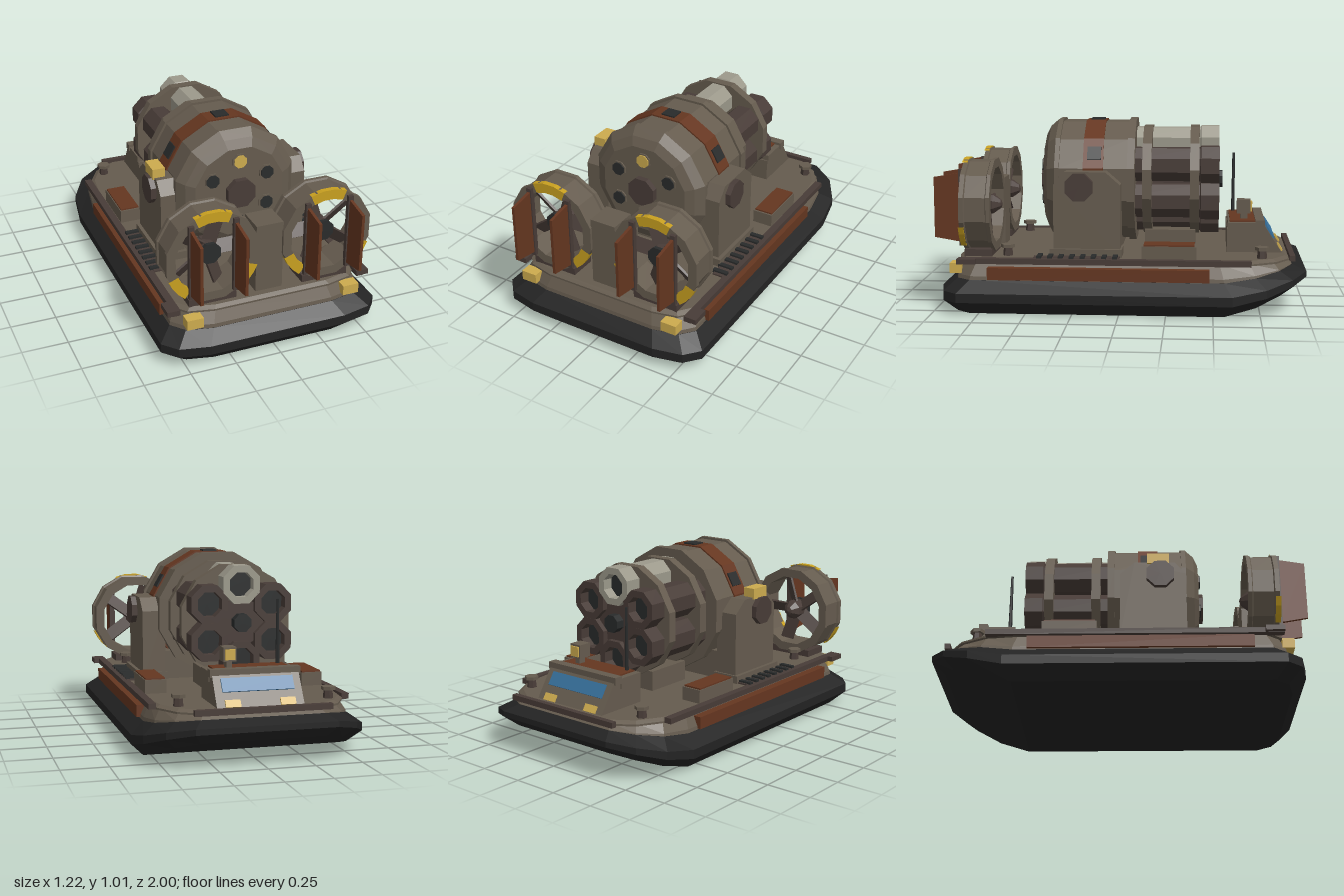
import * as THREE from 'three';

const mat = (name, color) => Object.assign(new THREE.MeshStandardMaterial({ color }), { name });

export function createModel() {
  const taupe = mat('taupe armour', 0x655b4e), brown = mat('dark brown metal', 0x483c37);
  const rust = mat('rust red paint', 0x653620), black = mat('black rubber', 0x232323);
  const dark = mat('charcoal', 0x292b2b), yellow = mat('hazard yellow', 0xc8a020);
  const lamp = mat('lamp amber', 0xcdab4e), pale = mat('pale steel', 0x9c998b);
  const blue = mat('blue glass', 0x37709c);
  const model = new THREE.Group();
  model.name = 'armouredHovercraft';

  // Faceted mesh
  function add(name, geometry, material, parent = model) {
    const g = geometry.index ? geometry.toNonIndexed() : geometry;
    g.computeVertexNormals();
    const mesh = new THREE.Mesh(g, material);
    mesh.name = name;
    parent.add(mesh);
    return mesh;
  }
  // Box from its limits
  const box = (name, m, x0, x1, y0, y1, z0, z1, parent) => add(name,
    new THREE.BoxGeometry(Math.abs(x1 - x0), y1 - y0, z1 - z0)
      .translate((x0 + x1) / 2, (y0 + y1) / 2, (z0 + z1) / 2), m, parent);
  // Turned part along z, flat side up; profile points are [radius, z]
  const turned = (name, m, profile, sides, x, y, parent, start = Math.PI / sides, sweep = Math.PI * 2) => add(name,
    new THREE.LatheGeometry(profile.map(p => new THREE.Vector2(...p)), sides, start, sweep)
      .rotateX(Math.PI / 2).translate(x, y, 0), m, parent);
  const disc = (r, z0, z1) => [[0, z0], [r, z0], [r, z1], [0, z1]];
  const ring = (ri, ro, z0, z1) => [[ri, z0], [ro, z0], [ro, z1], [ri, z1], [ri, z0]];

  // Plan outline of the craft, bow to stern on one side, then mirrored
  const half = [[0.37, -1], [0.5, -0.92], [0.585, -0.78], [0.61, -0.6], [0.61, 0.86], [0.54, 0.94], [0.38, 0.975]];
  const plan = [...half, ...half.map(([x, z]) => [-x, z]).reverse()];
  // Loft of inset outlines; each level is [inset, y, bow rise]
  function loft(levels) {
    const n = plan.length, pos = [];
    const rings = levels.map(([d, y, rise]) => plan.map(([x, z]) => {
      const t = Math.max(0, (-0.6 - z) / 0.4);
      return [x * (0.61 - d) / 0.61, y + rise * t ** 1.3, z * (0.985 - d) / 0.985];
    }));
    const quad = (a, b, c, d) => pos.push(...a, ...b, ...c, ...a, ...c, ...d);
    for (let k = 0; k < rings.length - 1; k++) {
      const lo = rings[k], hi = rings[k + 1];
      for (let i = 0; i < n; i++) quad(lo[i], hi[i], hi[(i + 1) % n], lo[(i + 1) % n]);
    }
    const bot = rings[0], top = rings[rings.length - 1];
    for (let i = 0; i < half.length - 1; i++) {
      quad(top[i], top[n - 1 - i], top[n - 2 - i], top[i + 1]);
      quad(bot[i], bot[i + 1], bot[n - 2 - i], bot[n - 1 - i]);
    }
    return new THREE.BufferGeometry().setAttribute('position', new THREE.Float32BufferAttribute(pos, 3));
  }

  // Skirt, hull and deck
  add('skirt', loft([[0.07, 0, 0.13], [0, 0.07, 0.12], [0, 0.12, 0.1], [0.07, 0.18, 0.07]]), black);
  add('hull', loft([[0.07, 0.17, 0.06], [0.075, 0.2, 0.05], [0.11, 0.275, 0]]), taupe);
  add('deck', loft([[0.09, 0.268, 0], [0.09, 0.278, 0], [0.11, 0.292, 0]]), taupe);
  box('bowRail', brown, -0.36, 0.36, 0.27, 0.3, -0.94, -0.91);

  for (const s of [-1, 1]) {
    const side = s > 0 ? 'left' : 'right';
    // Side armour, rails, lockers and grilles
    box(side + 'SidePanel', rust, s * 0.5, s * 0.557, 0.185, 0.25, -0.48, 0.7);
    box(side + 'Rail', brown, s * 0.5, s * 0.54, 0.268, 0.298, -0.7, 0.86);
    box(side + 'RailEnd', brown, s * 0.535, s * 0.57, 0.27, 0.298, 0.76, 0.86);
    box(side + 'Locker', taupe, s * 0.38, s * 0.495, 0.285, 0.365, -0.41, -0.12);
    box(side + 'LockerLid', rust, s * 0.385, s * 0.49, 0.365, 0.373, -0.4, -0.13);
    box(side + 'Grille', brown, s * 0.44, s * 0.5, 0.285, 0.3, 0, 0.46);
    for (let i = 0; i < 8; i++)
      box(side + 'GrilleSlat', dark, s * 0.43, s * 0.515, 0.285, 0.31, 0.01 + i * 0.058, 0.035 + i * 0.058);
    box(side + 'SternLamp', lamp, s * 0.395, s * 0.485, 0.205, 0.26, 0.85, 0.915);

    // Bollards
    for (const z of [0.61, -0.76]) {
      add('bollardStem', new THREE.CylinderGeometry(0.022, 0.028, 0.06, 6).translate(s * 0.4, 0.315, z), brown);
      add('bollardCap', new THREE.CylinderGeometry(0.038, 0.038, 0.018, 6).translate(s * 0.4, 0.345, z), taupe);
    }

    // Engine side mount with round boss
    box(side + 'MountFoot', taupe, s * 0.28, s * 0.44, 0.285, 0.335, -0.01, 0.38);
    const mount = new THREE.Shape([[0, 0.3], [0.36, 0.3], [0.36, 0.68], [0.3, 0.75], [0.08, 0.75], [0, 0.68]]
      .map(p => new THREE.Vector2(...p)));
    add(side + 'Mount', new THREE.ExtrudeGeometry(mount, { depth: 0.13, bevelEnabled: false })
      .rotateY(-Math.PI / 2).translate(s > 0 ? 0.42 : -0.29, 0, 0), taupe);
    add(side + 'MountBoss', new THREE.CylinderGeometry(0.08, 0.08, 0.04, 8, 1, false, Math.PI / 8)
      .rotateZ(Math.PI / 2).translate(s * 0.43, 0.67, 0.22), brown);

    // Ducted fan
    const fan = new THREE.Group();
    fan.name = side + 'Fan';
    model.add(fan);
    const fx = s * 0.317, fy = 0.56;
    turned('duct', taupe, [[0.207, 0.68], [0.257, 0.68], [0.257, 0.7], [0.247, 0.705], [0.247, 0.815],
      [0.257, 0.82], [0.257, 0.845], [0.207, 0.845], [0.207, 0.68]], 12, fx, fy, fan);
    for (const [mid, span] of [[90, 46], [217, 32], [323, 32]])
      turned('hazardMark', yellow, ring(0.203, 0.258, 0.822, 0.851), 3, fx, fy, fan,
        THREE.MathUtils.degToRad(mid + 90 - span / 2), THREE.MathUtils.degToRad(span));
    turned('hub', brown, [[0, 0.65], [0.025, 0.66], [0.055, 0.7], [0.055, 0.79], [0, 0.79]], 8, fx, fy, fan);
    turned('hubCap', dark, disc(0.06, 0.79, 0.81), 8, fx, fy, fan);
    for (let i = 0; i < 5; i++) {
      const a = i * Math.PI * 0.4;
      add('blade', new THREE.BoxGeometry(0.16, 0.075, 0.012).rotateX(0.6 * s).translate(0.12, 0, 0)
        .rotateZ(s < 0 ? a : Math.PI - a).translate(fx, fy, 0.75), brown, fan);
    }
    box('fanFoot', brown, fx - 0.13, fx + 0.13, 0.285, 0.33, 0.69, 0.84, fan);

    // Rudders and their posts
    const vane = new THREE.Shape([[0.855, 0.37], [1, 0.395], [1, 0.72], [0.855, 0.745]].map(p => new THREE.Vector2(...p)));
    for (const x of [0.198, 0.438]) {
      add('rudder', new THREE.ExtrudeGeometry(vane, { depth: 0.016, bevelEnabled: false })
        .rotateY(-Math.PI / 2).translate(s * x + 0.008, 0, 0), rust, fan);
      box('rudderPost', brown, s * x - 0.015, s * x + 0.015, 0.35, 0.765, 0.84, 0.865, fan);
    }
  }
  box('fanPylon', taupe, -0.075, 0.075, 0.285, 0.675, 0.68, 0.83);

  // Main engine body
  const ey = 0.67;
  turned('engineBody', taupe, [[0, -0.07], [0.35, -0.07], [0.35, -0.03], [0.337, -0.03], [0.337, 0.34], [0.35, 0.34],
    [0.35, 0.365], [0.31, 0.41], [0.26, 0.435], [0, 0.435]], 12, 0, ey);
  turned('engineBand', rust, ring(0.33, 0.345, 0.1, 0.21), 12, 0, ey);
  for (const a of [-Math.PI / 3, 0, Math.PI / 3])
    add('bandHatch', new THREE.BoxGeometry(0.078, 0.012, 0.075).translate(0, 0.335, 0.15)
      .rotateZ(a).translate(0, ey, 0), dark);
  box('engineCradle', taupe, -0.29, 0.29, 0.285, 0.45, 0.01, 0.33);
  turned('endBoss', brown, disc(0.085, 0.43, 0.468), 8, 0, ey);
  for (let i = 0; i < 6; i++) {
    const a = Math.PI / 2 + i * Math.PI / 3, x = Math.cos(a) * 0.18, y = ey + Math.sin(a) * 0.18;
    turned('portRim', taupe, disc(0.046, 0.43, 0.442), 8, x, y);
    turned(i ? 'port' : 'portLamp', i ? dark : lamp, disc(0.038, 0.44, 0.448), 8, x, y);
  }
  box('mountLight', lamp, -0.43, -0.36, 0.74, 0.8, 0.15, 0.27);

  // Barrel cluster with clamp bands
  for (let i = 0; i < 6; i++) {
    const a = Math.PI / 2 + i * Math.PI / 3, x = Math.cos(a) * 0.2, y = ey + Math.sin(a) * 0.2;
    turned(i ? 'barrel' : 'topBarrel', i ? brown : pale, [[0.07, -0.45], [0.07, -0.53], [0.108, -0.53], [0.108, -0.43],
      [0.098, -0.425], [0.098, -0.06]], 8, x, y);
    turned('barrelBore', dark, disc(0.075, -0.47, -0.45), 8, x, y);
  }
  turned('clusterCore', brown, disc(0.13, -0.5, -0.06), 12, 0, ey);
  turned('clusterAxle', dark, disc(0.05, -0.55, -0.5), 8, 0, ey);
  for (const z of [-0.16, -0.42]) turned('clampBand', taupe, disc(0.308, z, z + 0.05), 12, 0, ey);
  box('barrelCradle', taupe, -0.16, 0.16, 0.285, 0.4, -0.4, -0.12);

  // Control cabin at the bow
  const cabin = new THREE.Shape([[-0.88, 0.285], [-0.575, 0.285], [-0.575, 0.42], [-0.73, 0.455], [-0.77, 0.455]]
    .map(p => new THREE.Vector2(...p)));
  add('cabin', new THREE.ExtrudeGeometry(cabin, { depth: 0.46, bevelEnabled: false })
    .rotateY(-Math.PI / 2).translate(0.23, 0, 0), taupe);
  box('cabinBrow', taupe, -0.24, 0.24, 0.43, 0.47, -0.78, -0.73);
  box('cabinRear', taupe, -0.235, 0.235, 0.4, 0.455, -0.73, -0.58);
  box('cabinRoof', rust, -0.2, 0.2, 0.455, 0.463, -0.73, -0.59);
  const onSlope = (name, m, x, y, z, w, h) => add(name,
    new THREE.BoxGeometry(w, h, 0.012).rotateX(0.574).translate(x, y, z), m);
  onSlope('windscreen', blue, 0, 0.395, -0.812, 0.38, 0.075);
  for (const s of [-1, 1]) onSlope('headlamp', lamp, s * 0.145, 0.31, -0.868, 0.08, 0.04);
  box('searchlightStand', taupe, 0.1, 0.13, 0.46, 0.5, -0.69, -0.65);
  box('searchlight', taupe, 0.08, 0.15, 0.495, 0.57, -0.705, -0.63);
  box('searchlightLens', lamp, 0.088, 0.142, 0.505, 0.56, -0.714, -0.705);
  add('aerial', new THREE.CylinderGeometry(0.007, 0.011, 0.36, 6).translate(-0.17, 0.62, -0.615), dark);

  return model;
}
